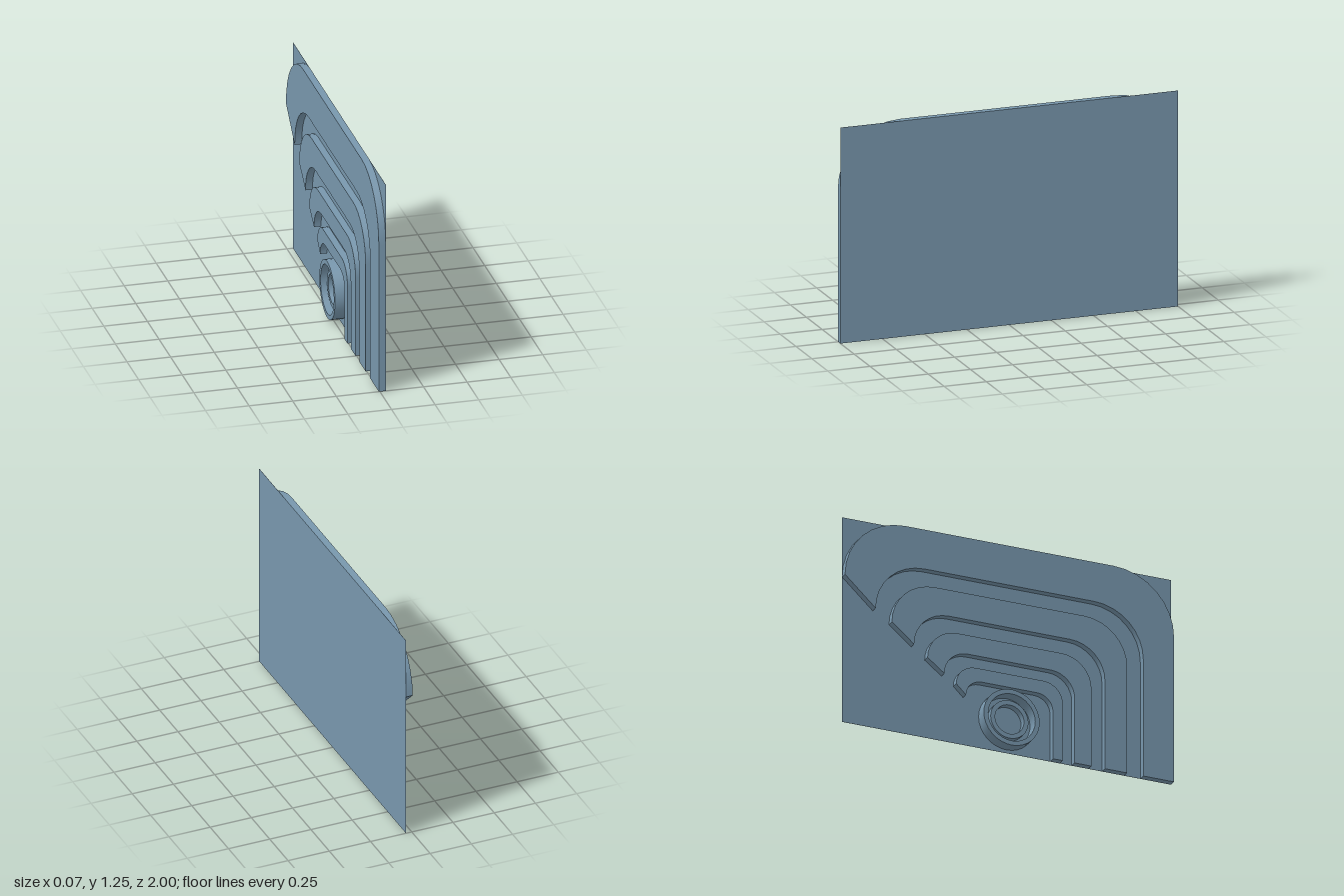
import * as THREE from 'three';
import { toCreasedNormals } from 'three/addons/utils/BufferGeometryUtils.js';

const BACK = 0.034;    // plane the relief grows from, towards -x
const material = new THREE.MeshStandardMaterial({ color: 0x7897ad });

// Upright arch with round top corners, traced from its left foot to its right foot
function tracePoints(halfWidth, height) {
  const r = 0.365 * halfWidth;
  const path = new THREE.Path();
  path.moveTo(-halfWidth, 0);
  path.absarc(-halfWidth + r, height - r, r, Math.PI, Math.PI / 2, true);
  path.absarc(halfWidth - r, height - r, r, Math.PI / 2, 0, true);
  path.lineTo(halfWidth, 0);
  return path.getPoints(4);
}

// Extrudes a shape drawn in the z-y plane towards -x, smooth around its curves
function relief(name, shape, depth, y = 0) {
  const geometry = new THREE.ExtrudeGeometry(shape, { depth, bevelEnabled: false, curveSegments: 16 });
  geometry.rotateY(-Math.PI / 2);
  const mesh = new THREE.Mesh(toCreasedNormals(geometry, 0.7), material);
  mesh.name = name;
  mesh.position.set(BACK, y, 0);
  return mesh;
}

function ringShape(outer, inner) {
  const shape = new THREE.Shape();
  shape.absarc(0, 0, outer, 0, Math.PI * 2);
  const hole = new THREE.Path();
  hole.absarc(0, 0, inner, 0, Math.PI * 2, true);
  shape.holes.push(hole);
  return shape;
}

export function createModel() {
  const model = new THREE.Group();
  model.name = 'archReliefPanel';

  // Thin backing sheet
  const sheet = new THREE.Mesh(new THREE.BoxGeometry(0.001, 1.25, 2), material);
  sheet.name = 'backingSheet';
  sheet.position.set(BACK + 0.0005, 0.625, 0);
  model.add(sheet);

  // Nested arch bands: outer half width, outer height, inner half width, inner height
  const bands = [
    [1.0, 1.25, 0.813, 1.01],
    [0.715, 0.91, 0.58, 0.75],
    [0.498, 0.655, 0.396, 0.54],
    [0.324, 0.465, 0.264, 0.385],
  ];
  bands.forEach(([w, h, innerW, innerH], i) => {
    const outline = [...tracePoints(w, h), ...tracePoints(innerW, innerH).reverse()];
    model.add(relief(`archBand${i + 1}`, new THREE.Shape(outline), 0.04));
  });

  // Round boss: tall outer ring and lower inner ring
  model.add(relief('outerRing', ringShape(0.17, 0.143), 0.07, 0.19));
  model.add(relief('innerRing', ringShape(0.115, 0.088), 0.04, 0.19));

  return model;
}
